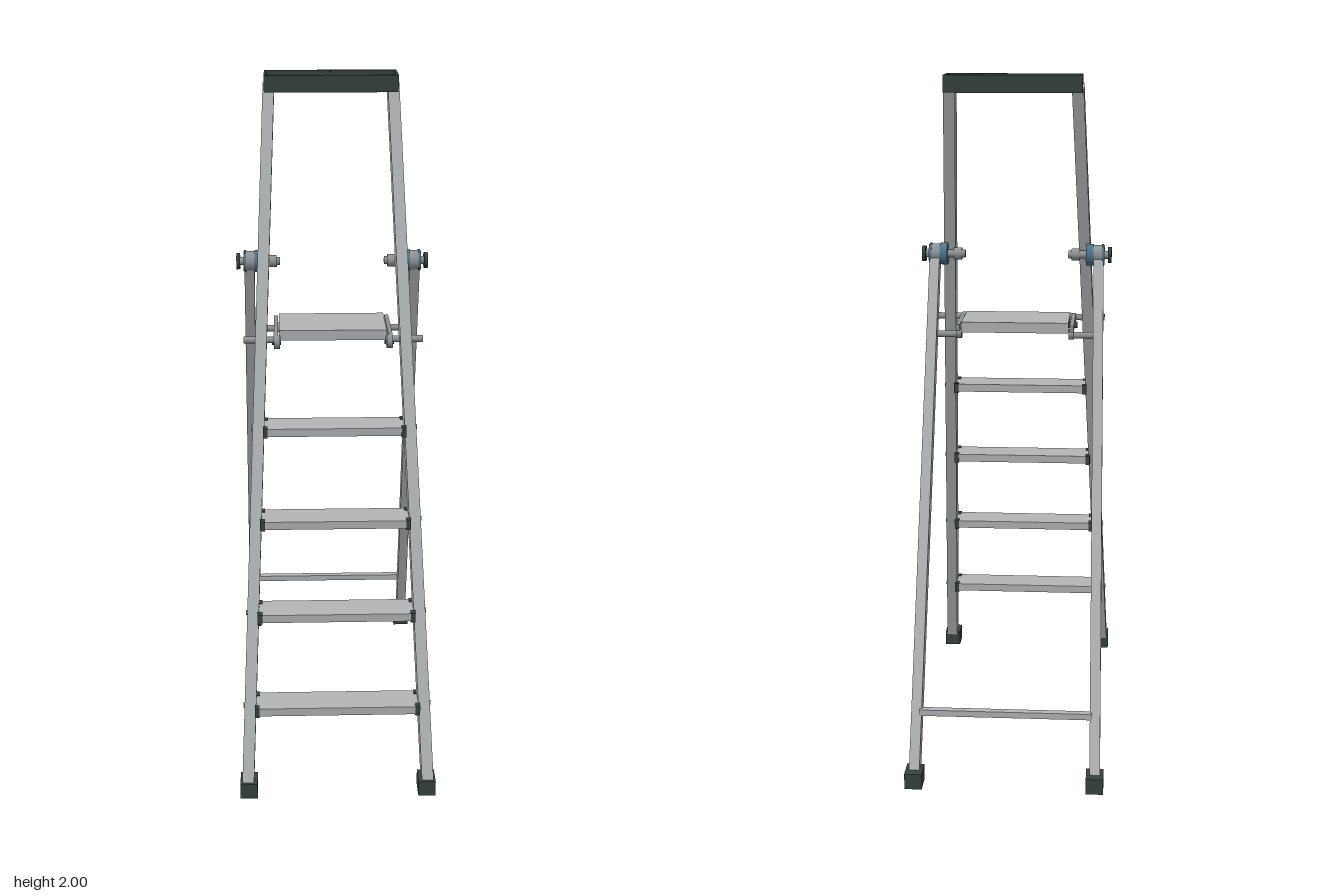
import * as THREE from 'three';

const mat = (name, color) => {
  const m = new THREE.MeshStandardMaterial({ color });
  m.name = name;
  return m;
};

export function createModel() {
  const aluminium = mat('aluminium', 0xb2b5b7);
  const steel = mat('steel', 0x8f9496);
  const rubber = mat('dark plastic', 0x36433f);
  const blue = mat('blue plastic', 0x4a7590);

  const model = new THREE.Group();
  model.name = 'stepladder';

  const add = (name, geo, material, x = 0, y = 0, z = 0) => {
    const mesh = new THREE.Mesh(geo, material);
    mesh.name = name;
    mesh.position.set(x, y, z);
    model.add(mesh);
    return mesh;
  };
  const box = (name, material, w, h, d, x, y, z) =>
    add(name, new THREE.BoxGeometry(w, h, d), material, x, y, z);

  // Straight bar of section w (across x) by d between two points
  const beam = (name, material, a, b, w, d) => {
    const from = new THREE.Vector3(...a), to = new THREE.Vector3(...b);
    const along = to.clone().sub(from);
    const length = along.length();
    along.normalize();
    const depth = new THREE.Vector3(1, 0, 0).cross(along).normalize();
    const side = along.clone().cross(depth);
    const mid = from.add(to).multiplyScalar(0.5);
    const mesh = box(name, material, w, length, d, mid.x, mid.y, mid.z);
    mesh.quaternion.setFromRotationMatrix(new THREE.Matrix4().makeBasis(side, along, depth));
  };

  // Cylinder along x from x0 to x1
  const pin = (name, material, r, x0, x1, y, z) => {
    const geo = new THREE.CylinderGeometry(r, r, Math.abs(x1 - x0), 20);
    geo.rotateZ(Math.PI / 2);
    return add(name, geo, material, (x0 + x1) / 2, y, z);
  };

  // Centre line of the front rails at height y
  const railX = y => 0.264 - 0.0405 * y;
  const railZ = y => 0.575 - 0.36 * y;

  for (const s of [-1, 1]) {
    // Rails, legs and feet
    const railPoint = y => [s * railX(y), y, railZ(y)];
    beam('frontRail', aluminium, railPoint(0.02), railPoint(1.965), 0.034, 0.06);
    beam('rearLeg', aluminium, [s * 0.26, 0.02, -0.557], [s * 0.246, 1.47, 0.003], 0.03, 0.046);
    box('frontFoot', rubber, 0.05, 0.046, 0.07, s * 0.26, 0.023, 0.565);
    box('rearFoot', rubber, 0.05, 0.046, 0.07, s * 0.26, 0.023, -0.565);

    // Hinge, stacked outward along its axle
    const hy = 1.463;
    pin('hingeAxle', steel, 0.012, s * 0.155, s * 0.275, hy, 0);
    pin('hingeInnerCollar', steel, 0.018, s * 0.165, s * 0.19, hy, 0.002);
    pin('hingeWasher', blue, 0.033, s * 0.208, s * 0.231, hy, 0);
    pin('hingeKnuckle', steel, 0.03, s * 0.228, s * 0.264, hy, 0);
    pin('hingeRing', blue, 0.033, s * 0.256, s * 0.262, hy, 0);
    pin('hingeCap', rubber, 0.024, s * 0.274, s * 0.285, hy, 0);

    // Platform supports and pins
    box('platformSideBar', steel, 0.012, 0.02, 0.22, s * 0.17, 1.255, 0.005);
    pin('platformFrontPin', steel, 0.01, s * 0.155, s * 0.265, 1.252, 0.115);
    pin('platformFrontCollar', steel, 0.02, s * 0.158, s * 0.176, 1.245, 0.115);
    pin('platformRearPin', steel, 0.01, s * 0.16, s * 0.255, 1.232, -0.08);
    pin('platformRearCollar', steel, 0.016, s * 0.16, s * 0.176, 1.235, -0.08);
    pin('platformLatch', rubber, 0.01, s * 0.155, s * 0.182, 1.235, 0.075);
  }

  // Treads: ribbed top plate with folded edges and dark end caps
  for (const y of [0.245, 0.5, 0.755, 1.01]) {
    const z = railZ(y), half = railX(y) - 0.016;
    box('treadPlate', aluminium, half * 2, 0.008, 0.1, 0, y + 0.009, z);
    for (const e of [-1, 1]) {
      box('treadEdge', aluminium, half * 2, 0.024, 0.008, 0, y + 0.001, z + e * 0.046);
      box('treadRib', aluminium, half * 2, 0.012, 0.005, 0, y + 0.003, z + e * 0.016);
      for (const s of [-1, 1]) {
        box('treadEndCap', rubber, 0.014, 0.03, 0.024, s * (half - 0.004), y, z + e * 0.04);
      }
      pin('treadRivet', steel, 0.007, e * (half + 0.02), e * (half + 0.037), y, z);
    }
  }

  // Platform with folded edges
  box('platformPlate', aluminium, 0.32, 0.01, 0.19, 0, 1.267, -0.007);
  for (const z of [0.084, -0.098]) {
    box('platformEdge', aluminium, 0.32, 0.028, 0.008, 0, 1.255, z);
  }
  for (const z of [-0.05, 0.0, 0.045]) {
    box('platformRib', aluminium, 0.32, 0.014, 0.006, 0, 1.257, z);
  }

  // Rear crossbar
  box('rearCrossbar', aluminium, 0.5, 0.018, 0.022, 0, 0.2, -0.507);

  // Tool tray: floor, four walls and a divider
  const tz = -0.138;
  box('trayFloor', rubber, 0.396, 0.026, 0.124, 0, 1.964, tz);
  for (const s of [-1, 1]) {
    box('trayLongWall', rubber, 0.396, 0.05, 0.007, 0, 1.975, tz + s * 0.0585);
    box('trayEndWall', rubber, 0.007, 0.05, 0.124, s * 0.1945, 1.975, tz);
  }
  box('trayDivider', rubber, 0.008, 0.04, 0.12, 0, 1.976, tz);

  return model;
}
